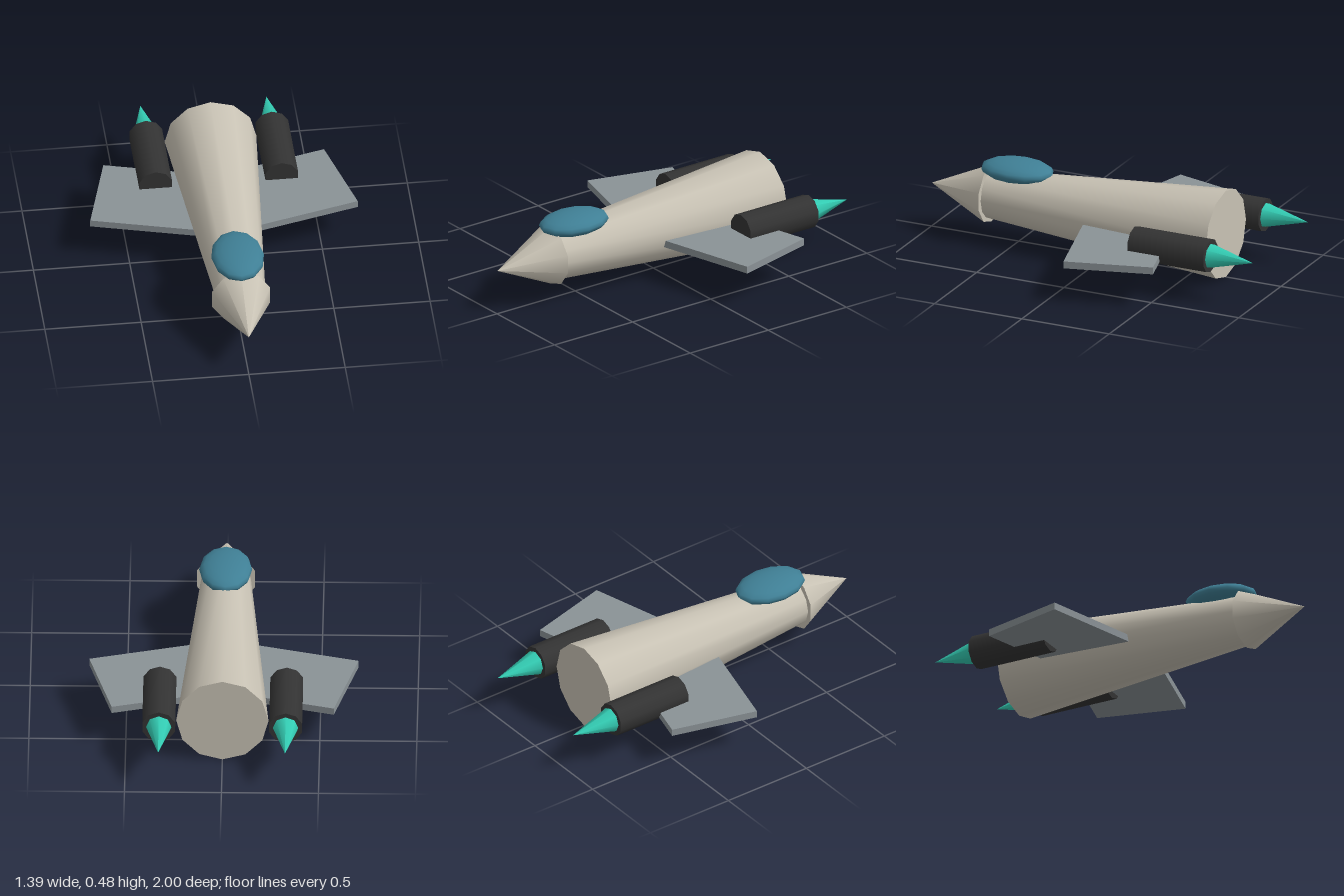
import * as THREE from 'three';

export function createModel() {
  const model = new THREE.Group();
  model.name = 'spacecraft';

  const material = (name, color) => {
    const m = new THREE.MeshStandardMaterial({ color });
    m.name = name;
    return m;
  };
  const hull = material('warm grey hull', 0xc8c2b4);
  const wingGrey = material('wing grey', 0x8a9296);
  const engineBlack = material('engine black', 0x333333);
  const glass = material('blue glass', 0x3f7f95);
  const flame = material('teal flame', 0x33ccb3);

  const add = (name, geometry, mat, x, y, z) => {
    const mesh = new THREE.Mesh(geometry, mat);
    mesh.name = name;
    mesh.position.set(x, y, z);
    model.add(mesh);
    return mesh;
  };

  // Cylinder or cone lying along z, between two z positions
  const alongZ = (name, mat, x, y, zBack, zFront, rBack, rFront, sides) => {
    const geometry = new THREE.CylinderGeometry(rFront, rBack, zFront - zBack, sides);
    geometry.rotateX(Math.PI / 2);
    return add(name, geometry, mat, x, y, (zBack + zFront) / 2);
  };

  // Tapered fuselage and overhanging nose cone
  alongZ('fuselage', hull, 0, 0.24, -0.685, 0.66, 0.238, 0.128, 12);
  alongZ('noseCone', hull, 0, 0.242, 0.657, 0.998, 0.158, 0, 10);

  // Flattened bubble canopy
  const canopy = new THREE.SphereGeometry(1, 12, 10);
  canopy.scale(0.137, 0.056, 0.2);
  add('canopy', canopy, glass, 0, 0.394, 0.508);

  for (const side of [1, -1]) {
    const label = side > 0 ? 'left' : 'right';

    // Swept slab wing
    const wing = add(label + 'Wing', new THREE.BoxGeometry(0.62, 0.038, 0.47),
      wingGrey, side * 0.334, 0.209, -0.237);
    wing.rotation.y = side * Math.PI / 12;

    // Engine pod with exhaust flame
    alongZ(label + 'Engine', engineBlack, side * 0.327, 0.243, -0.755, -0.32, 0.089, 0.089, 10);
    alongZ(label + 'Flame', flame, side * 0.327, 0.243, -0.998, -0.75, 0, 0.067, 8);
  }

  return model;
}
